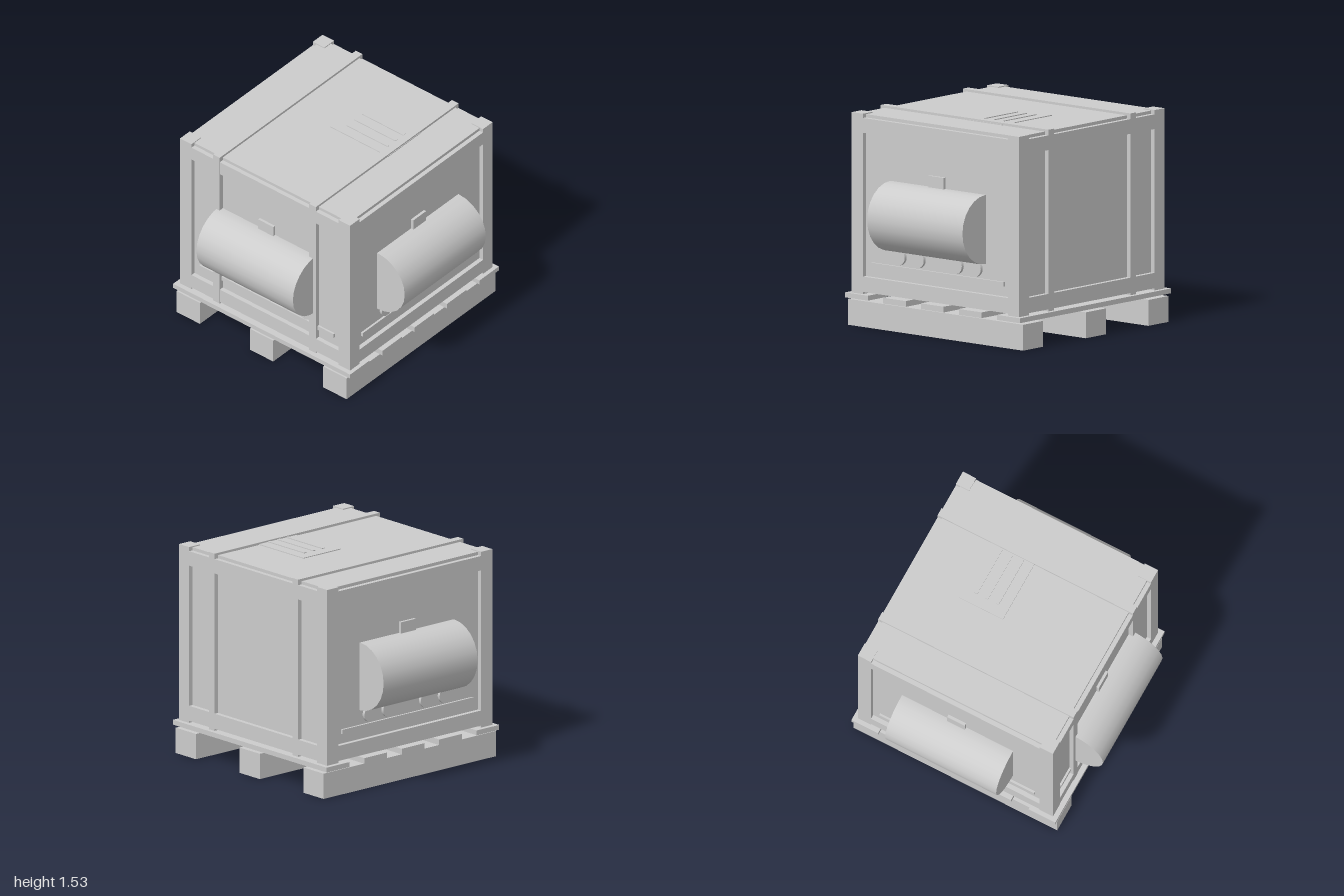
import * as THREE from 'three';

export function createModel() {
  const model = new THREE.Group();
  model.name = 'palletCrate';
  const paint = new THREE.MeshStandardMaterial({ color: 0xcccccc });
  paint.name = 'light grey';

  // Box given by its low and high limits on each axis
  const box = (name, x0, x1, y0, y1, z0, z1, parent = model) => {
    const m = new THREE.Mesh(new THREE.BoxGeometry(x1 - x0, y1 - y0, z1 - z0), paint);
    m.position.set((x0 + x1) / 2, (y0 + y1) / 2, (z0 + z1) / 2);
    m.name = name;
    parent.add(m);
    return m;
  };

  const X = 0.78, ZB = -0.87, ZF = 0.685; // frame limits
  const W = 0.105, D = 0.033; // frame width and panel recess

  // Pallet: three runners and five deck boards
  for (const x of [-0.675, -0.003, 0.67]) box('palletRunner', x - 0.107, x + 0.107, 0, 0.185, -0.905, 0.72);
  [0.615, 0.262, -0.09, -0.443, -0.797].forEach((z, i) => {
    const drop = i === 0 || i === 4 ? 0 : 0.004;
    box('palletBoard', -0.813, 0.81, 0.2 - drop, 0.235 + drop / 2, z - 0.106, z + 0.106);
  });

  // Crate body with recessed panels
  box('crateBody', -X + D, X - D, 0.245, 1.513, ZB + D, ZF - D);

  // Corner posts
  for (const x of [-X, X - W]) {
    for (const z of [ZB, ZF - W]) box('cornerPost', x, x + W, 0.235, 1.52, z, z + W);
  }

  // Top and bottom rails on all four sides
  for (const [y0, y1] of [[0.25, 0.36], [1.385, 1.49]]) {
    for (const z of [ZB, ZF - D]) box('endRail', -X + W, X - W, y0, y1, z, z + D);
    for (const x of [-X, X - D]) box('sideRail', x, x + D, y0, y1, ZB + W, ZF - W);
  }

  // Straps running around the crate
  for (const x of [-0.445, 0.436]) {
    const r = 0.03;
    box('strapTop', x - r, x + r, 1.5, 1.53, ZB, ZF + 0.001);
    box('strapBottom', x - r, x + r, 0.235, 0.25, ZB, ZF);
    box('strapFront', x - r, x + r, 0.235, 1.53, ZF - D, ZF + 0.001);
    box('strapBack', x - r, x + r, 0.235, 1.53, ZB - 0.001, ZB + D);
  }

  // Label plate with raised bars on the lid
  box('lidLabel', -0.06, 0.47, 1.512, 1.519, -0.45, -0.1);
  for (const z of [-0.36, -0.275, -0.19]) box('labelBar', 0.02, 0.4, 1.518, 1.525, z - 0.012, z + 0.012);

  // Half-drum with tag, discs and bar; local +z points out of the panel
  const drumUnit = (name) => {
    const g = new THREE.Group();
    g.name = name;
    const drum = new THREE.Mesh(new THREE.CylinderGeometry(0.247, 0.247, 0.885, 24), paint);
    drum.rotation.z = Math.PI / 2;
    drum.position.set(0, 0.818, 0.005);
    drum.name = 'drum';
    g.add(drum);
    box('tag', -0.072, 0.068, 0.98, 1.145, -0.01, 0.02, g);
    for (const x of [-0.355, -0.178, 0.176, 0.352]) {
      const disc = new THREE.Mesh(new THREE.CylinderGeometry(0.06, 0.06, 0.03, 20), paint);
      disc.rotation.x = Math.PI / 2;
      disc.position.set(x, 0.533, 0.005);
      disc.name = 'disc';
      g.add(disc);
    }
    box('lowerBar', -0.617, 0.617, 0.432, 0.464, -0.01, 0.015, g);
    model.add(g);
    return g;
  };
  drumUnit('frontDrum').position.set(-0.003, 0, ZF - D);
  for (const s of [-1, 1]) {
    const g = drumUnit(s > 0 ? 'leftDrum' : 'rightDrum');
    g.rotation.y = s * Math.PI / 2;
    g.position.set(s * (X - D + 0.001), 0, -0.092);
  }
  return model;
}
